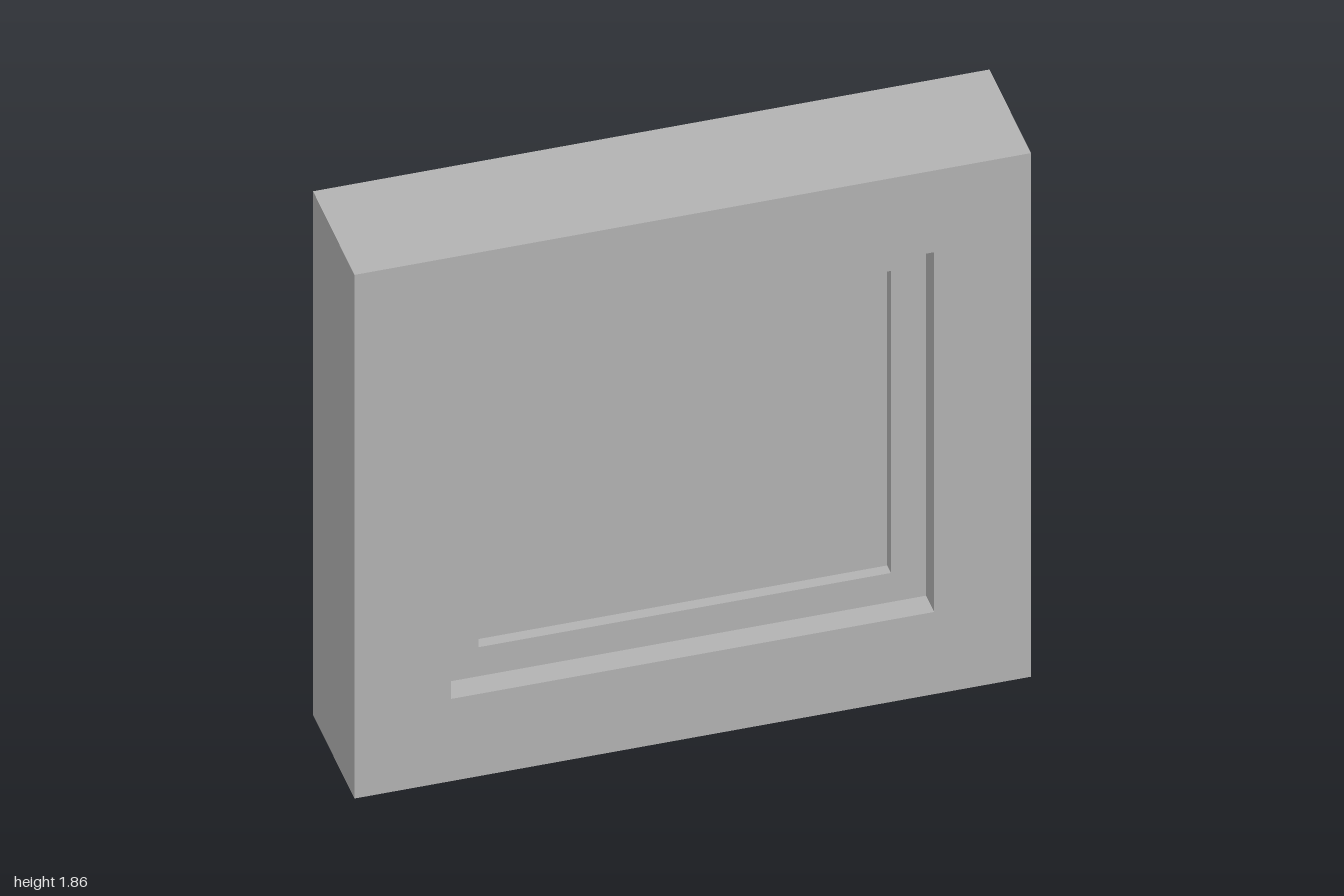
import * as THREE from 'three';

// Rectangle corners, centred on x
function trace(path, halfWidth, bottom, top) {
  path.moveTo(-halfWidth, bottom);
  path.lineTo(halfWidth, bottom);
  path.lineTo(halfWidth, top);
  path.lineTo(-halfWidth, top);
  path.closePath();
  return path;
}

// Rectangular ring (or solid panel without a hole) from zBack to zFront
function panel(name, material, outer, hole, zBack, zFront) {
  const shape = trace(new THREE.Shape(), ...outer);
  if (hole) shape.holes.push(trace(new THREE.Path(), ...hole));
  const geometry = new THREE.ExtrudeGeometry(shape, { depth: zFront - zBack, bevelEnabled: false });
  geometry.translate(0, 0, zBack);
  const mesh = new THREE.Mesh(geometry, material);
  mesh.name = name;
  return mesh;
}

export function createModel() {
  const group = new THREE.Group();
  group.name = 'window';

  const grey = new THREE.MeshStandardMaterial({ color: 0xb2b2b2 });
  grey.name = 'grey';

  // [half width, bottom, top]
  const wall = [1, 0, 1.86];
  const opening = [0.714, 0.292, 1.57];
  const paneArea = [0.61, 0.395, 1.468];

  group.add(
    panel('wallSurround', grey, wall, opening, -0.205, 0.205),
    panel('sashFrame', grey, opening, paneArea, 0.012, 0.125),
    panel('pane', grey, paneArea, null, 0.05, 0.088),
  );
  return group;
}
